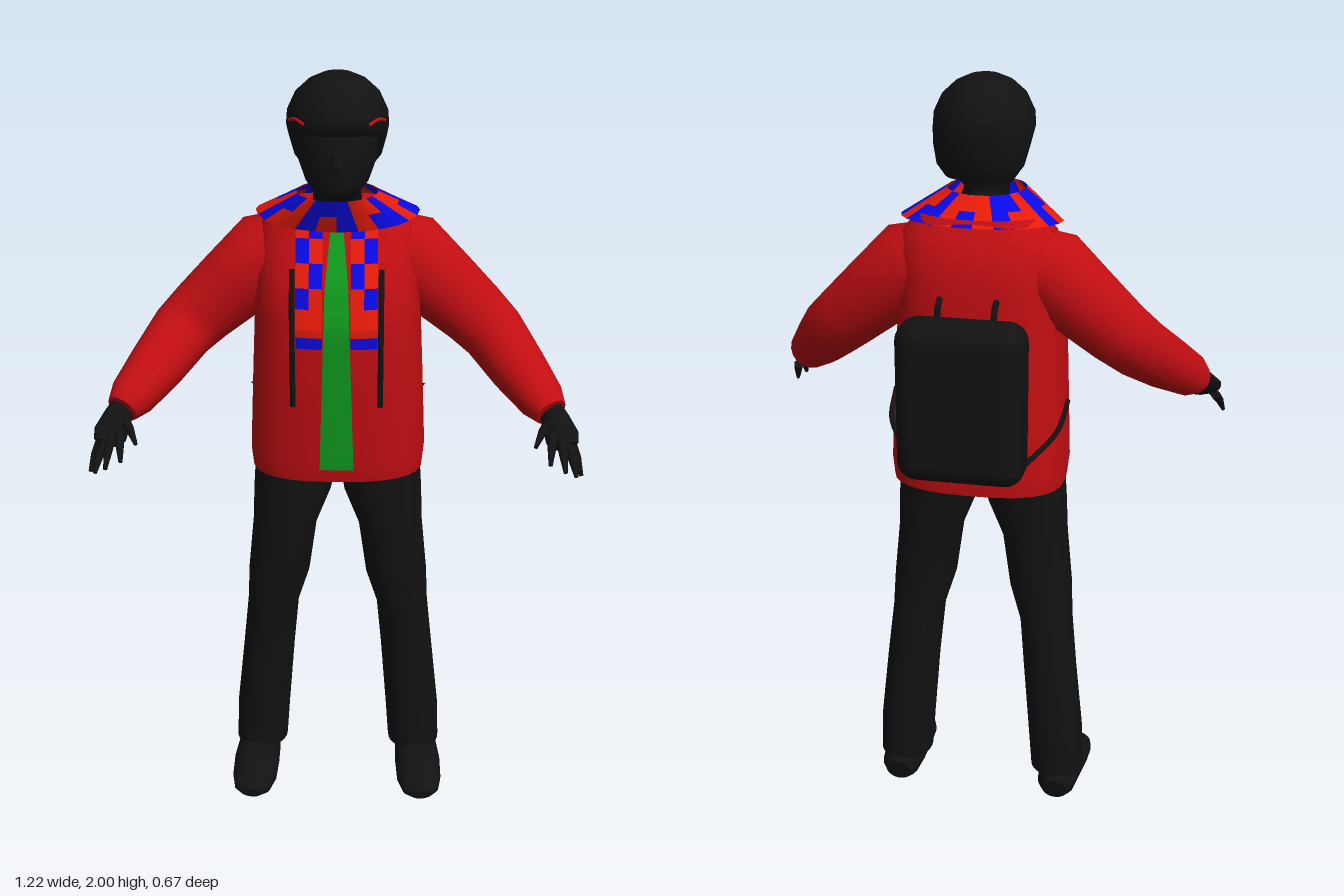
import * as THREE from 'three';
import { RoundedBoxGeometry } from 'three/addons/geometries/RoundedBoxGeometry.js';

const V = (x, y, z) => new THREE.Vector3(x, y, z);
const SEG = 28;

// Smooth skin over closed rings, with flat end caps
function loft(rings) {
  const pos = [], idx = [], n = rings[0].length;
  rings.forEach(r => r.forEach(p => pos.push(p.x, p.y, p.z)));
  for (let i = 0; i < rings.length - 1; i++) {
    for (let j = 0; j < n; j++) {
      const k = (j + 1) % n, a = i * n + j, b = i * n + k;
      idx.push(a, a + n, b, b, a + n, b + n);
    }
  }
  [rings[0], rings[rings.length - 1]].forEach((r, end) => {
    const base = pos.length / 3, c = V(0, 0, 0);
    r.forEach(p => { pos.push(p.x, p.y, p.z); c.addScaledVector(p, 1 / n); });
    pos.push(c.x, c.y, c.z);
    for (let j = 0; j < n; j++) {
      const a = base + j, b = base + (j + 1) % n;
      if (end) idx.push(base + n, b, a); else idx.push(base + n, a, b);
    }
  });
  const g = new THREE.BufferGeometry();
  g.setAttribute('position', new THREE.Float32BufferAttribute(pos, 3));
  g.setIndex(idx);
  g.computeVertexNormals();
  return g;
}

const sgnPow = (v, p) => Math.sign(v) * Math.pow(Math.abs(v), p);

// Upright body from sections [y, cx, cz, rx, rz], listed upwards
const upright = (sections, power = 2) => loft(sections.map(([y, cx, cz, rx, rz]) =>
  Array.from({ length: SEG }, (_, j) => {
    const a = j / SEG * Math.PI * 2;
    return V(cx + rx * sgnPow(Math.cos(a), 2 / power), y, cz + rz * sgnPow(Math.sin(a), 2 / power));
  })));

// Limb along points [x, y, z, ra, rb], mirrored by side s
function limb(points, s = 1, seg = 18) {
  const c = points.map(p => V(p[0] * s, p[1], p[2]));
  return loft(c.map((p, i) => {
    const t = c[Math.min(i + 1, c.length - 1)].clone().sub(c[Math.max(i - 1, 0)]).normalize();
    const u = Math.abs(t.z) > 0.9 ? V(0, 1, 0) : V(0, 0, 1);
    u.addScaledVector(t, -u.dot(t)).normalize();
    const v = u.clone().cross(t);
    return Array.from({ length: seg }, (_, j) => {
      const a = j / seg * Math.PI * 2;
      return p.clone().addScaledVector(u, points[i][3] * Math.cos(a)).addScaledVector(v, points[i][4] * Math.sin(a));
    });
  }));
}

const tube = (pts, r, s = 1) => new THREE.TubeGeometry(
  new THREE.CatmullRomCurve3(pts.map(p => V(p[0] * s, p[1], p[2]))), 16, r, 8);

const JACKET = [
  [0.97, 0, -0.037, 0.225, 0.16], [1.02, 0, -0.035, 0.23, 0.168], [1.2, 0, -0.028, 0.222, 0.175],
  [1.4, 0, -0.018, 0.212, 0.18], [1.5, 0, -0.03, 0.21, 0.168], [1.58, 0, -0.045, 0.205, 0.14],
  [1.63, 0, -0.045, 0.19, 0.115], [1.67, 0, -0.035, 0.15, 0.1]];
const JP = 2.7;

// Front surface of the jacket at x, y
function frontZ(x, y) {
  let i = 0;
  while (i < JACKET.length - 2 && JACKET[i + 1][0] < y) i++;
  const a = JACKET[i], b = JACKET[i + 1];
  const [, , cz, rx, rz] = a.map((v, k) => THREE.MathUtils.lerp(v, b[k], (y - a[0]) / (b[0] - a[0])));
  return cz + rz * Math.pow(Math.max(0, 1 - Math.pow(Math.abs(x) / rx, JP)), 1 / JP);
}

// Thin panel laid on the jacket front
function panel(y0, y1, edges, lift) {
  const g = new THREE.PlaneGeometry(1, 1, 6, 24), p = g.attributes.position;
  for (let i = 0; i < p.count; i++) {
    const y = y0 + (p.getY(i) + 0.5) * (y1 - y0), [l, r] = edges(y);
    const x = l + (p.getX(i) + 0.5) * (r - l);
    p.setXYZ(i, x, y, frontZ(x, y) + lift);
  }
  g.computeVertexNormals();
  return g;
}

export function createModel() {
  const model = new THREE.Group();
  const mat = (name, color, side = THREE.FrontSide) => {
    const m = new THREE.MeshStandardMaterial({ color, side });
    m.name = name;
    return m;
  };
  const black = mat('black', 0x121212);
  const red = mat('jacketRed', 0xc20e12);
  const scarlet = mat('liningRed', 0xee1c0a, THREE.DoubleSide);
  const blue = mat('liningBlue', 0x0a0aee, THREE.DoubleSide);
  const green = mat('shirtGreen', 0x109a1e);
  const add = (name, geo, m) => {
    const mesh = new THREE.Mesh(geo, m);
    mesh.name = name;
    model.add(mesh);
    return mesh;
  };

  // Head and hair
  add('head', upright([
    [1.62, 0, -0.02, 0.065, 0.065], [1.7, 0, 0.005, 0.06, 0.075], [1.72, 0, 0.04, 0.055, 0.085],
    [1.75, 0, 0.04, 0.078, 0.1], [1.8, 0, 0.025, 0.097, 0.115], [1.87, 0, 0.01, 0.105, 0.13],
    [1.95, 0, 0, 0.08, 0.1]]), black);
  add('hair', upright([
    [1.76, 0, -0.05, 0.085, 0.055], [1.79, 0, -0.045, 0.108, 0.08], [1.84, 0, -0.025, 0.12, 0.112],
    [1.875, 0, 0.003, 0.125, 0.143], [1.91, 0, 0.004, 0.122, 0.143], [1.95, 0, 0.004, 0.103, 0.124],
    [1.98, 0, 0.004, 0.07, 0.085], [1.995, 0, 0.004, 0.036, 0.045], [2, 0, 0.004, 0.008, 0.01]]), black);
  add('nose', limb([[0, 1.84, 0.125, 0.012, 0.01], [0, 1.8, 0.14, 0.017, 0.016], [0, 1.785, 0.135, 0.008, 0.01]]), black);

  // Jacket body and shirt strip
  add('jacketBody', upright(JACKET, JP), red);
  add('shirt', panel(1.01, 1.66, y => {
    const w = y < 1.5 ? 0.044 - (y - 1) * 0.03 : 0.029 - (y - 1.5) * 0.1;
    return [-w, w];
  }, 0.006), green);

  // Checked collar, flaring down over the shoulders
  const collar = new THREE.CylinderGeometry(1, 1, 1, 24, 2, true);
  const cp = collar.attributes.position;
  for (let i = 0; i < cp.count; i++) {
    const h = cp.getY(i) + 0.5, x = cp.getX(i), z = cp.getZ(i);
    const front = Math.max(0, z);
    cp.setXYZ(i, x * (0.205 - 0.105 * h), 1.655 + 0.062 * h - 0.025 * front * (1 - h),
      z * (0.125 - 0.02 * h) + (-0.025 + 0.06 * h));
  }
  collar.computeVertexNormals();
  collar.clearGroups();
  for (let row = 0; row < 2; row++) {
    for (let j = 0; j < 24; j++) collar.addGroup((row * 24 + j) * 6, 6, (Math.floor((j + 1) / 3) + row) % 2);
  }
  add('collar', collar, [blue, scarlet]);

  for (const s of [1, -1]) {
    const side = s > 0 ? 'left' : 'right';
    const strip = (a, b) => () => s > 0 ? [a, b] : [-b, -a];

    // Checked lining on the open front edges
    const rows = [1.66, 1.61, 1.555, 1.5, 1.45, 1.38, 1.35];
    for (let r = 0; r < rows.length - 1; r++) {
      for (let c = 0; c < 2; c++) {
        const isBlue = r === 5 || (r !== 4 && (r + c) % 2 === 0);
        add(side + 'Lining', panel(rows[r + 1], rows[r], strip(0.035 + c * 0.033, 0.068 + c * 0.033), 0.007),
          isBlue ? blue : scarlet);
      }
    }

    // Shoulder strap and side strap
    add(side + 'FrontStrap', tube([1.54, 1.45, 1.36, 1.27, 1.19].map(y => [0.11, y, frontZ(0.11, y) + 0.006]), 0.007, s), black);
    add(side + 'SideStrap', tube([[0.226, 1.19, -0.04], [0.215, 1.14, -0.13], [0.16, 1.09, -0.21], [0.13, 1.07, -0.25]], 0.007, s), black);
    add(side + 'PackLoop', tube([[0.07, 1.42, -0.23], [0.07, 1.475, -0.215], [0.07, 1.49, -0.19]], 0.008, s), black);

    // Sleeve
    add(side + 'Sleeve', limb([
      [0.1, 1.56, -0.055, 0.09, 0.09], [0.18, 1.53, -0.05, 0.11, 0.11], [0.27, 1.45, -0.045, 0.09, 0.098],
      [0.35, 1.38, -0.035, 0.075, 0.088], [0.4, 1.335, -0.01, 0.07, 0.082], [0.46, 1.27, 0.075, 0.068, 0.072],
      [0.515, 1.215, 0.15, 0.06, 0.058], [0.535, 1.195, 0.18, 0.045, 0.042]], s), red);

    // Hand with four fingers and a thumb
    add(side + 'Palm', limb([
      [0.53, 1.205, 0.165, 0.025, 0.03], [0.545, 1.18, 0.2, 0.025, 0.036],
      [0.56, 1.15, 0.235, 0.02, 0.042], [0.565, 1.135, 0.255, 0.012, 0.034]], s, 12), black);
    const fingers = [
      [[0.535, 1.16, 0.245], [0.525, 1.11, 0.315]], [[0.555, 1.15, 0.25], [0.56, 1.1, 0.335]],
      [[0.572, 1.14, 0.245], [0.59, 1.08, 0.315]], [[0.585, 1.13, 0.235], [0.606, 1.07, 0.285]],
      [[0.53, 1.18, 0.2], [0.49, 1.145, 0.285]]];
    fingers.forEach(([a, b], i) => {
      const m = a.map((v, k) => (v + b[k]) / 2 + (k === 1 ? 0.006 : 0));
      add(side + (i < 4 ? 'Finger' : 'Thumb'), limb([[...a, 0.013, 0.013], [...m, 0.011, 0.011], [...b, 0.005, 0.005]], s, 8), black);
    });

    // Trouser leg
    add(side + 'Leg', upright([
      [0.09, 0.218, -0.034, 0.072, 0.08], [0.2, 0.212, -0.035, 0.074, 0.085], [0.4, 0.193, -0.033, 0.071, 0.087],
      [0.55, 0.178, -0.02, 0.07, 0.09], [0.65, 0.16, -0.012, 0.083, 0.094], [0.8, 0.142, -0.01, 0.086, 0.1],
      [0.9, 0.12, -0.015, 0.104, 0.107], [1.02, 0.108, -0.02, 0.108, 0.115]].map(p => [p[0], p[1] * s, ...p.slice(2)]), 2.2), black);

    // Shoe
    add(side + 'Shoe', limb([
      [0.225, 0.05, -0.117, 0.034, 0.035], [0.225, 0.058, -0.09, 0.05, 0.052], [0.226, 0.06, -0.02, 0.055, 0.06],
      [0.23, 0.055, 0.05, 0.05, 0.064], [0.233, 0.043, 0.12, 0.036, 0.062], [0.237, 0.036, 0.165, 0.026, 0.05],
      [0.24, 0.033, 0.185, 0.014, 0.028]].map(p => [p[0], p[1] - 0.002, ...p.slice(2)]), s), black);

    // Glasses arm
    add(side + 'GlassesArm', tube([[0.114, 1.895, 0.06], [0.1, 1.903, 0.088], [0.075, 1.895, 0.119]], 0.004, s), red);
  }

  // Backpack
  add('backpack', new RoundedBoxGeometry(0.32, 0.41, 0.135, 5, 0.05), black).position.set(0, 1.255, -0.268);

  return model;
}
